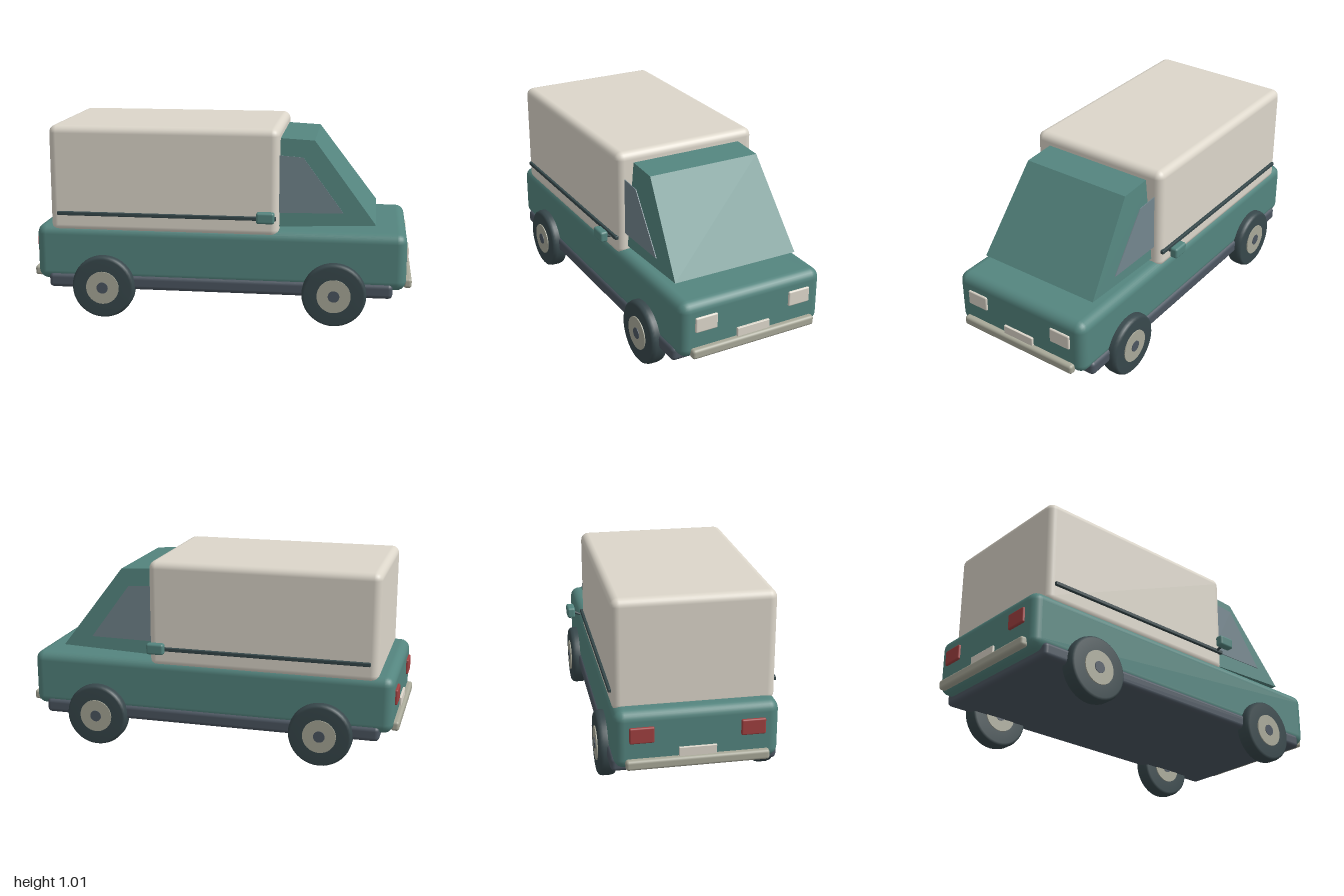
import * as THREE from 'three';
import { RoundedBoxGeometry } from 'three/addons/geometries/RoundedBoxGeometry.js';

const mat = (color, extra = {}) => new THREE.MeshStandardMaterial({ color, ...extra });

export function createModel() {
  const van = new THREE.Group();
  van.name = 'van';
  const teal = mat(0x54857f), cream = mat(0xdcd6ca), slate = mat(0x4c5661), tyreMat = mat(0x38484c);
  const metal = mat(0xa9a999), red = mat(0xa04040), trim = mat(0x35474a);
  const cabMat = mat(0x54857f, { flatShading: true });
  const glass = mat(0x73868e);

  const add = (name, geometry, material, parent = van) => {
    const mesh = new THREE.Mesh(geometry, material);
    mesh.name = name;
    parent.add(mesh);
    return mesh;
  };
  // Rounded box given by its limits on each axis
  const block = (name, material, [x0, x1], [y0, y1], [z0, z1], r, parent) => {
    const g = new RoundedBoxGeometry(x1 - x0, y1 - y0, z1 - z0, 3, r);
    g.translate((x0 + x1) / 2, (y0 + y1) / 2, (z0 + z1) / 2);
    return add(name, g, material, parent);
  };

  // Main volumes
  block('chassis', slate, [-0.905, 0.9], [0.152, 0.228], [-0.41, 0.41], 0.022);
  block('lowerBody', teal, [-0.97, 0.968], [0.19, 0.488], [-0.4, 0.4], 0.05);
  block('cargoBox', cream, [-0.89, 0.312], [0.452, 1.016], [-0.396, 0.396], 0.04);

  // Cab: a box whose corners move to a tapering, raked shape
  const cabGeo = new THREE.BoxGeometry(1, 1, 1);
  const p = cabGeo.attributes.position;
  for (let i = 0; i < p.count; i++) {
    const front = p.getX(i) > 0, top = p.getY(i) > 0;
    const x = front ? (top ? 0.487 : 0.808) : 0.25;
    const y = top ? (front ? 0.95 : 0.963) : (front ? 0.524 : 0.502);
    p.setXYZ(i, x, y, Math.sign(p.getZ(i)) * (top ? 0.307 : 0.345));
  }
  cabGeo.computeVertexNormals();
  add('cab', cabGeo, cabMat);

  // Side window outline
  const windowShape = new THREE.Shape([[0.28, 0.58], [0.642, 0.585], [0.432, 0.87], [0.28, 0.88]]
    .map(([x, y]) => new THREE.Vector2(x, y)));

  // Tyre profile: radius and distance along the axle
  const tyreProfile = [[0.05, -0.042], [0.15, -0.044], [0.161, -0.036], [0.166, -0.02],
    [0.166, 0.02], [0.161, 0.036], [0.15, 0.044], [0.05, 0.042]]
    .map(([r, y]) => new THREE.Vector2(r, y));

  for (const s of [1, -1]) {
    const side = s > 0 ? 'left' : 'right';
    const zs = (a, b) => (s > 0 ? [-b, -a] : [a, b]);

    const windowGeo = new THREE.ExtrudeGeometry(windowShape, { depth: 0.004, bevelEnabled: false });
    windowGeo.translate(0, 0, -s * 0.357 - 0.002);
    add(side + 'Window', windowGeo, glass);

    block(side + 'TrimStrip', trim, [-0.85, 0.3], [0.545, 0.565], zs(0.39, 0.41), 0.004);

    // Mirror head on a short tapered arm
    block(side + 'Mirror', teal, [0.205, 0.297], [0.546, 0.604], zs(0.447, 0.49), 0.012);
    const arm = add(side + 'MirrorArm', new THREE.CylinderGeometry(0.01, 0.006, 0.045, 12), trim);
    arm.position.set(0.252, 0.56, -s * 0.436);
    arm.rotation.x = -s * 1.15;

    // Lamps
    block(side + 'Headlight', cream, [0.95, 0.978], [0.33, 0.411], zs(0.204, 0.326), 0.008);
    block(side + 'TailLight', red, [-0.983, -0.95], [0.33, 0.411], zs(0.21, 0.33), 0.008);

    // Wheels, axle along z
    for (const [end, x] of [['Front', 0.602], ['Rear', -0.607]]) {
      const wheel = new THREE.Group();
      wheel.name = side + end + 'Wheel';
      wheel.position.set(x, 0.169, -s * 0.402);
      wheel.rotation.x = Math.PI / 2;
      van.add(wheel);
      add('tyre', new THREE.LatheGeometry(tyreProfile, 40), tyreMat, wheel);
      add('hub', new THREE.CylinderGeometry(0.087, 0.087, 0.096, 32), metal, wheel);
      add('hubCap', new THREE.CylinderGeometry(0.03, 0.03, 0.102, 20), slate, wheel);
    }
  }

  // Bumpers and blank plates at both ends
  for (const [end, s] of [['front', 1], ['rear', -1]]) {
    const xs = (a, b) => (s > 0 ? [a, b] : [-b, -a]);
    block(end + 'Bumper', metal, xs(0.955, 0.998), [0.198, 0.249], [-0.35, 0.35], 0.015);
    block(end + 'Plate', cream, xs(0.95, 0.981), [0.245, 0.294], [-0.092, 0.092], 0.003);
  }
  return van;
}
